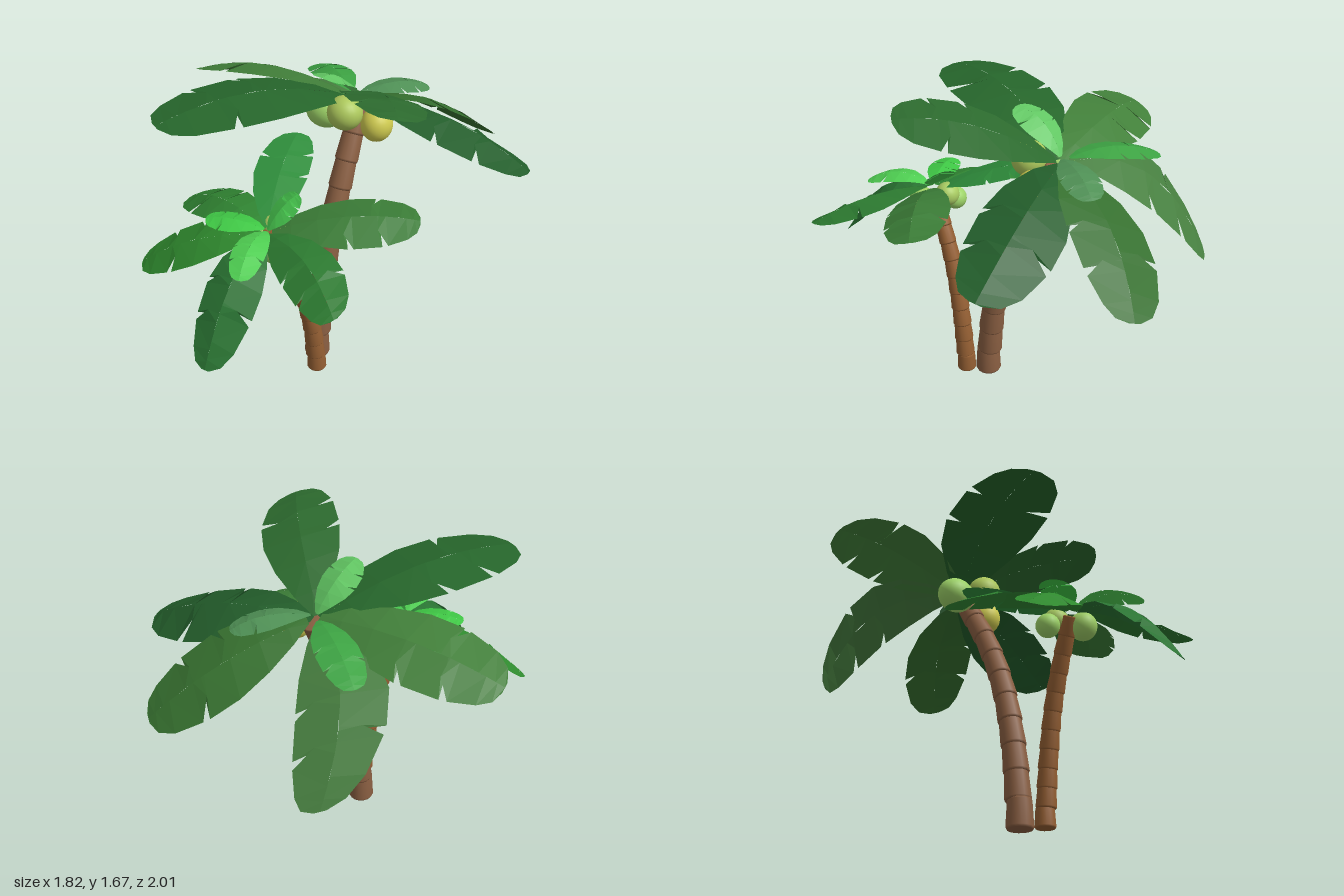
import * as THREE from 'three';

const V = (p) => new THREE.Vector3(...p);
const UP = new THREE.Vector3(0, 1, 0);

// Half-leaf outline: [rib position, edge position, width]; the dips are narrow torn notches
const LEFT_EDGE = [
  [0, 0, 0.1], [0.12, 0.12, 0.45], [0.3, 0.3, 0.8], [0.48, 0.5, 1], [0.64, 0.69, 1],
  [0.66, 0.66, 0.5], [0.71, 0.73, 0.97], [0.86, 0.89, 0.78], [0.95, 0.97, 0.5], [1, 1, 0.14],
];
const RIGHT_EDGE = [
  [0, 0, 0.1], [0.13, 0.13, 0.48], [0.3, 0.32, 0.86], [0.47, 0.51, 1],
  [0.48, 0.48, 0.58], [0.53, 0.55, 1], [0.7, 0.75, 0.94], [0.71, 0.71, 0.48],
  [0.76, 0.79, 0.9], [0.9, 0.92, 0.68], [0.96, 0.98, 0.45], [1, 1, 0.14],
];

// Folded leaf blade along an arched rib through root, middle and tip; roll lifts its right edge
function makeLeaf({ root, mid, tip, width, color, fold = 0.25, roll = 0 }, name) {
  const a = V(root), c = V(tip);
  const control = V(mid).multiplyScalar(2).addScaledVector(a, -0.5).addScaledVector(c, -0.5);
  const rib = new THREE.QuadraticBezierCurve3(a, control, c);
  const flat = c.clone().sub(a).setY(0).normalize();
  const side = new THREE.Vector3().crossVectors(flat, UP).applyAxisAngle(flat, -roll);
  const positions = [], index = [];
  for (const [edge, sign] of [[LEFT_EDGE, -1], [RIGHT_EDGE, 1]]) {
    const start = positions.length / 3;
    edge.forEach(([t, along, w], i) => {
      const normal = side.clone().cross(rib.getTangent(along));
      const p = rib.getPoint(along)
        .addScaledVector(side, sign * w * width)
        .addScaledVector(normal, -fold * w * w * width);
      positions.push(...rib.getPoint(t).toArray(), ...p.toArray());
      if (i === 0) return;
      const k = start + 2 * i;
      if (sign > 0) index.push(k - 2, k - 1, k, k - 1, k + 1, k);
      else index.push(k - 2, k, k - 1, k - 1, k, k + 1);
    });
  }
  const geometry = new THREE.BufferGeometry();
  geometry.setAttribute('position', new THREE.Float32BufferAttribute(positions, 3));
  geometry.setIndex(index);
  geometry.computeVertexNormals();
  const material = new THREE.MeshStandardMaterial({ color, side: THREE.DoubleSide, flatShading: true });
  const mesh = new THREE.Mesh(geometry, material);
  mesh.name = name;
  return mesh;
}

// Bent trunk of stacked, slightly tapered rings
function makeTrunk({ path, rings, r0, r1, color }) {
  const trunk = new THREE.Group();
  trunk.name = 'trunk';
  const curve = new THREE.CatmullRomCurve3(path.map(V));
  const material = new THREE.MeshStandardMaterial({ color });
  for (let i = 0; i < rings; i++) {
    const a = curve.getPointAt(i / rings), b = curve.getPointAt((i + 1) / rings);
    const r = THREE.MathUtils.lerp(r0, r1, i / (rings - 1));
    const dir = b.clone().sub(a);
    const h = dir.length() * 1.06;
    const profile = [[0, 0], [r * 0.95, 0], [r * 1.04, h * 0.08], [r * 0.93, h * 0.94], [r * 0.86, h], [0, h]];
    const geometry = new THREE.LatheGeometry(profile.map(([x, y]) => new THREE.Vector2(x, y)), 16);
    const ring = new THREE.Mesh(geometry, material);
    ring.name = 'trunkRing';
    ring.position.copy(a);
    // the lowest ring stands flat on the ground
    if (i > 0) ring.quaternion.setFromUnitVectors(UP, dir.normalize());
    trunk.add(ring);
  }
  return trunk;
}

function makePalm(name, { trunk, coconuts, leaves, smallLeaves }) {
  const palm = new THREE.Group();
  palm.name = name;
  palm.add(makeTrunk(trunk));
  for (const { at, size, color } of coconuts) {
    const nut = new THREE.Mesh(new THREE.SphereGeometry(1, 24, 16), new THREE.MeshStandardMaterial({ color }));
    nut.name = 'coconut';
    nut.position.set(...at);
    nut.scale.set(...size);
    palm.add(nut);
  }
  for (const leaf of leaves) palm.add(makeLeaf(leaf, 'leaf'));
  for (const leaf of smallLeaves) palm.add(makeLeaf(leaf, 'youngLeaf'));
  return palm;
}

const tallPalm = {
  trunk: {
    path: [[0.03, 0, 0.065], [0.035, 0.4, 0.03], [0.045, 0.75, -0.045], [0.05, 1.05, -0.16], [0.045, 1.34, -0.32]],
    rings: 10, r0: 0.066, r1: 0.056, color: 0x8a5f42,
  },
  coconuts: [
    { at: [-0.11, 1.31, -0.25], size: [0.105, 0.09, 0.09], color: 0x9ed468 },
    { at: [0.04, 1.365, -0.18], size: [0.09, 0.086, 0.086], color: 0xadc95c },
    { at: [0.165, 1.29, -0.28], size: [0.08, 0.088, 0.085], color: 0xcfcb50 },
  ],
  leaves: [
    { root: [0, 1.38, -0.32], mid: [-0.48, 1.43, -0.33], tip: [-0.91, 1.33, -0.28], width: 0.19, color: 0x42803a, roll: -0.4 },
    { root: [-0.02, 1.37, -0.36], mid: [-0.32, 1.25, -0.63], tip: [-0.41, 0.87, -0.92], width: 0.21, color: 0x477f40, roll: -0.3, fold: 0.15 },
    { root: [0.04, 1.37, -0.36], mid: [0.24, 1.27, -0.7], tip: [0.5, 1.01, -0.97], width: 0.2, color: 0x36702f, roll: 0.32, fold: 0.15 },
    { root: [0.03, 1.37, -0.34], mid: [0.47, 1.35, -0.42], tip: [0.91, 1.16, -0.45], width: 0.2, color: 0x235e2b, roll: 0.2, fold: 0.35 },
    { root: [0.02, 1.38, -0.31], mid: [0.3, 1.6, -0.05], tip: [0.53, 1.65, 0.23], width: 0.19, color: 0x2c6a2e, fold: 0.15, roll: 0.26 },
    { root: [0, 1.38, -0.32], mid: [-0.26, 1.53, 0.11], tip: [-0.5, 1.5, 0.59], width: 0.235, color: 0x26662b, fold: 0.15 },
  ],
  smallLeaves: [
    { root: [0.01, 1.4, -0.33], mid: [-0.02, 1.53, -0.22], tip: [-0.03, 1.58, -0.07], width: 0.1, color: 0x62c763 },
    { root: [0.03, 1.4, -0.35], mid: [0.16, 1.43, -0.5], tip: [0.27, 1.38, -0.63], width: 0.09, color: 0x4f9055 },
    { root: [-0.02, 1.39, -0.36], mid: [-0.21, 1.41, -0.5], tip: [-0.4, 1.33, -0.64], width: 0.1, color: 0x3da343 },
  ],
};

const shortPalm = {
  trunk: {
    path: [[0.09, 0, 0.17], [0.08, 0.3, 0.2], [0.05, 0.6, 0.265], [0.02, 0.8, 0.34], [-0.02, 0.98, 0.43]],
    rings: 11, r0: 0.05, r1: 0.042, color: 0x945f33,
  },
  coconuts: [
    { at: [0.04, 0.945, 0.46], size: [0.07, 0.072, 0.07], color: 0x9fcf66 },
    { at: [-0.03, 0.985, 0.35], size: [0.062, 0.062, 0.062], color: 0xa9cc62 },
    { at: [-0.1, 0.93, 0.35], size: [0.06, 0.06, 0.06], color: 0x9ed468 },
  ],
  leaves: [
    { root: [0, 1.01, 0.46], mid: [0.28, 1.05, 0.59], tip: [0.54, 0.96, 0.77], width: 0.135, color: 0x2c7a30, roll: -0.27, fold: 0.35 },
    { root: [-0.01, 1, 0.47], mid: [0, 0.93, 0.75], tip: [0.01, 0.6, 1], width: 0.14, color: 0x2a7533, fold: 0.35 },
    { root: [-0.03, 1, 0.46], mid: [-0.33, 0.93, 0.57], tip: [-0.63, 0.73, 0.64], width: 0.13, color: 0x2f8a2e, roll: 0.4 },
    { root: [-0.04, 1.01, 0.43], mid: [-0.35, 1.01, 0.32], tip: [-0.65, 0.86, 0.2], width: 0.135, color: 0x318733, roll: 0.15 },
    { root: [0, 1.01, 0.42], mid: [0.32, 1.12, 0.28], tip: [0.61, 1.1, 0.11], width: 0.16, color: 0x3b7d37, roll: -0.2, fold: 0.3 },
    { root: [-0.03, 1.01, 0.41], mid: [-0.13, 1.14, 0.15], tip: [-0.19, 1.22, -0.11], width: 0.135, color: 0x2f8f3c, fold: 0.15 },
  ],
  smallLeaves: [
    { root: [-0.01, 1.02, 0.45], mid: [0.02, 1.06, 0.62], tip: [0.07, 0.99, 0.79], width: 0.08, color: 0x4fcf52 },
    { root: [-0.01, 1.02, 0.44], mid: [0.02, 1.11, 0.37], tip: [0.07, 1.17, 0.3], width: 0.08, color: 0x45c24c },
    { root: [-0.03, 1.02, 0.44], mid: [-0.17, 1.05, 0.48], tip: [-0.31, 1.03, 0.51], width: 0.08, color: 0x3fc845 },
  ],
};

export function createModel() {
  const model = new THREE.Group();
  model.name = 'palmTrees';
  model.add(makePalm('tallPalm', tallPalm), makePalm('shortPalm', shortPalm));
  return model;
}
